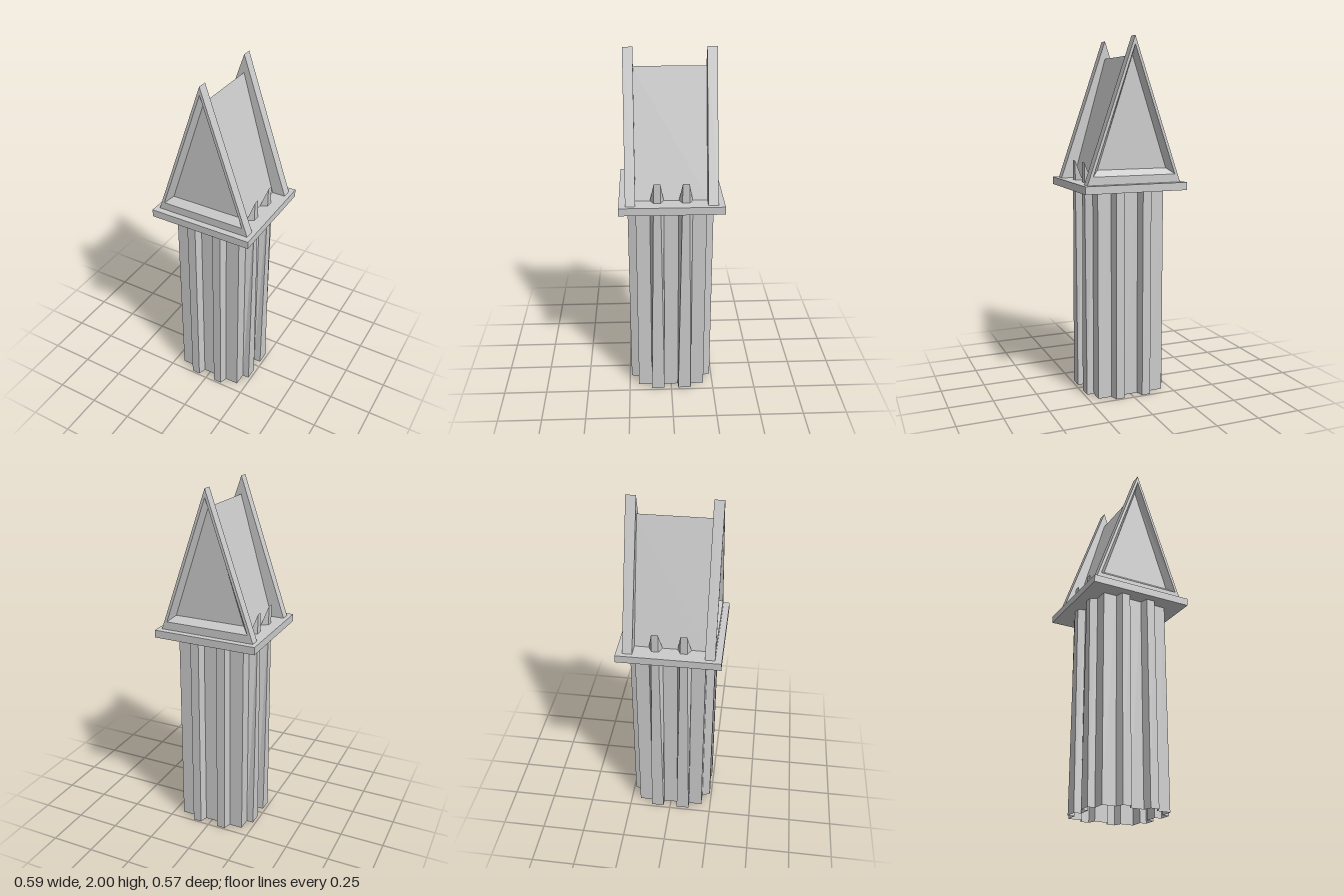
import * as THREE from 'three';

// Skin between successive closed loops of [x, y, z]; optionally fan-cap both ends.
function loft(loops, capped) {
  const pos = [];
  const tri = (a, b, c) => pos.push(...a, ...b, ...c);
  for (let k = 0; k + 1 < loops.length; k++) {
    const a = loops[k], b = loops[k + 1];
    a.forEach((p, i) => {
      const j = (i + 1) % a.length;
      tri(p, a[j], b[j]);
      tri(p, b[j], b[i]);
    });
  }
  if (capped) {
    const first = loops[0], last = loops[loops.length - 1];
    for (let i = 1; i + 1 < first.length; i++) {
      tri(first[0], first[i + 1], first[i]);
      tri(last[0], last[i], last[i + 1]);
    }
  }
  const g = new THREE.BufferGeometry();
  g.setAttribute('position', new THREE.Float32BufferAttribute(pos, 3));
  g.computeVertexNormals();
  return g;
}

const triangle = (half, base, apex, z) => [[-half, base, z], [half, base, z], [0, apex, z]];

// Ribbed square shaft: two ribs per face; side ribs taper and poke above the slab.
function shaftLoop(top) {
  const core = 0.195, loop = [];
  for (let k = 0; k < 4; k++) {
    const side = k % 2 === 1;
    const out = side ? 0.235 : 0.24;
    const wide = side ? (top ? 0.096 : 0.117) : 0.103;
    const narrow = side ? (top ? 0.06 : 0.042) : 0.054;
    const baseY = top ? 1.21 : 0;
    const ribY = top && side ? 1.325 : baseY;
    const profile = [
      [-core, core, baseY],
      [-0.117, core, baseY], [-wide, out, ribY], [-narrow, out, ribY], [-0.04, core, baseY],
      [0.04, core, baseY], [narrow, out, ribY], [wide, out, ribY], [0.117, core, baseY],
    ];
    const c = Math.round(Math.cos(k * Math.PI / 2)), s = Math.round(Math.sin(k * Math.PI / 2));
    for (const [u, v, y] of profile) loop.push([u * c + v * s, y, v * c - u * s]);
  }
  return loop;
}

export function createModel() {
  const group = new THREE.Group();
  const solid = new THREE.MeshStandardMaterial({ color: 0xcccccc, flatShading: true });
  const open = solid.clone();
  open.side = THREE.DoubleSide;
  const add = (name, geometry, material = solid) => {
    const mesh = new THREE.Mesh(geometry, material);
    mesh.name = name;
    group.add(mesh);
    return mesh;
  };

  // Hollow shaft, open at the bottom
  add('ribbedShaft', loft([shaftLoop(false), shaftLoop(true)], false), open);

  // Slab between shaft and roof
  add('slab', new THREE.BoxGeometry(0.594, 0.043, 0.57)).position.y = 1.1935;

  // Steep roof between the gables
  add('roof', loft([triangle(0.197, 1.213, 1.9, -0.2), triangle(0.197, 1.213, 1.9, 0.2)], true));

  // Raised gable frames with a recessed, bevelled panel
  const gable = loft([
    triangle(0.273, 1.213, 2, 0.195),
    triangle(0.273, 1.213, 2, 0.249),
    triangle(0.24, 1.26, 1.955, 0.249),
    triangle(0.202, 1.292, 1.9, 0.21),
  ], true);
  add('frontGable', gable);
  add('backGable', gable).rotation.y = Math.PI;

  return group;
}
